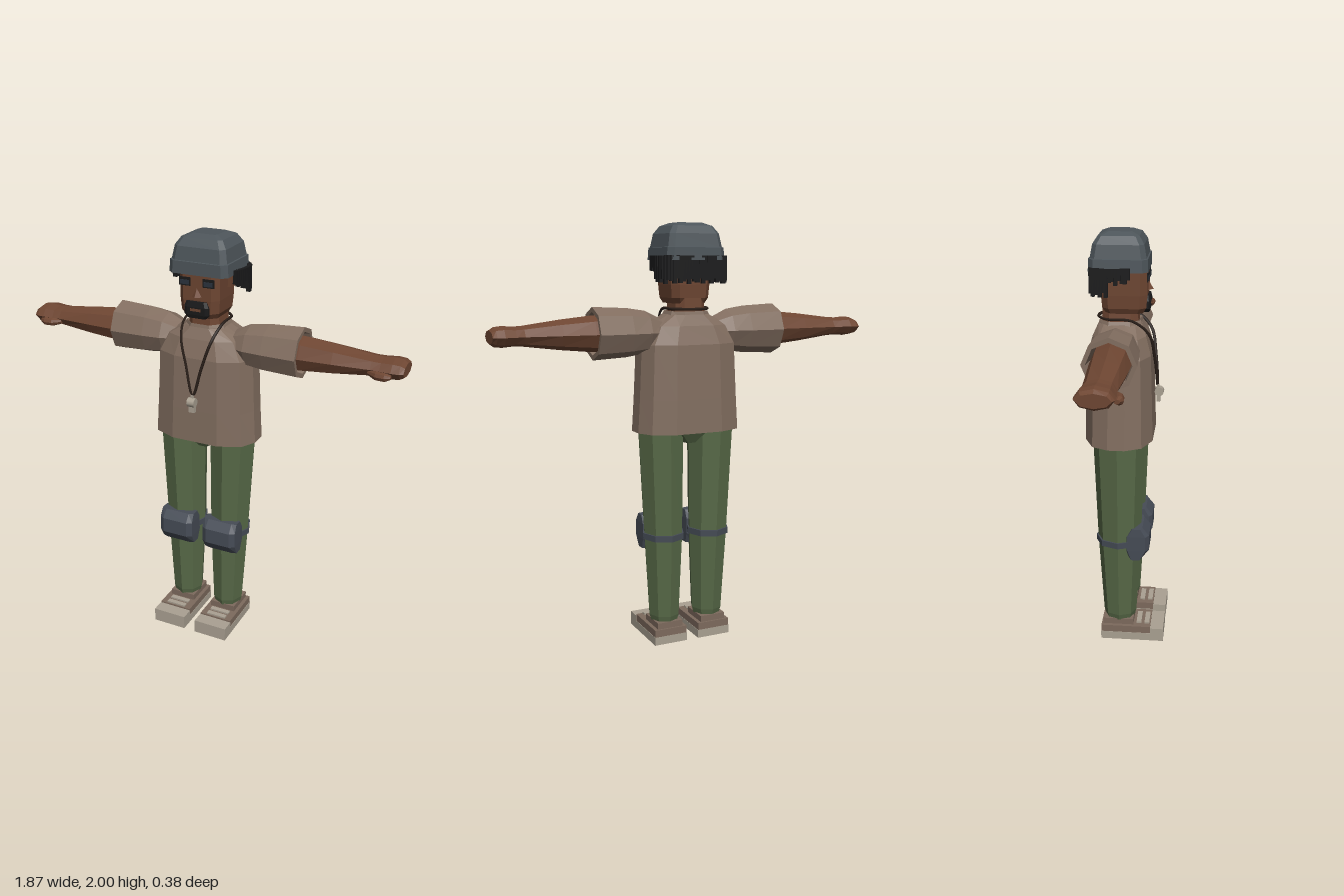
import * as THREE from 'three';

const mat = (name, color) => {
  const m = new THREE.MeshStandardMaterial({ color });
  m.name = name;
  return m;
};

// Full outline from one quarter of (x, z) points, in order of rising angle
const quarters = (q) => {
  const r = [...q].reverse();
  return [...q, ...r.map(([x, z]) => [-x, z]), ...q.map(([x, z]) => [-x, -z]), ...r.map(([x, z]) => [x, -z])];
};
const chamfered = (c) => quarters([[1, 1 - c], [1 - c, 1]]);
const OCTAGON = Array.from({ length: 8 }, (_, i) => [Math.cos(i * Math.PI / 4), Math.sin(i * Math.PI / 4)]);
const BODY = quarters([[1, 0.25], [0.85, 0.72], [0.45, 1]]);

// Faceted skin over cross-sections [y, centreX, centreZ, radiusX, radiusZ], capped at both ends
function loft(outline, sections) {
  const rings = sections.map(([y, cx, cz, rx, rz]) => outline.map(([x, z]) => [cx + x * rx, y, cz + z * rz]));
  const n = outline.length, last = rings.length - 1, out = [];
  const centre = (s) => [s[1], s[0], s[2]];
  for (let i = 0; i < n; i++) {
    const j = (i + 1) % n;
    for (let k = 0; k < last; k++) {
      const a = rings[k][i], b = rings[k][j], c = rings[k + 1][j], d = rings[k + 1][i];
      out.push(a, d, c, a, c, b);
    }
    out.push(centre(sections[0]), rings[0][i], rings[0][j]);
    out.push(centre(sections[last]), rings[last][j], rings[last][i]);
  }
  const g = new THREE.BufferGeometry();
  g.setAttribute('position', new THREE.Float32BufferAttribute(out.flat(), 3));
  g.computeVertexNormals();
  return g;
}

export function createModel() {
  const model = new THREE.Group();
  model.name = 'figure';
  const skin = mat('skin', 0x6e4632);
  const shirt = mat('shirt cloth', 0x826e60);
  const pants = mat('trouser cloth', 0x576947);
  const cap = mat('cap grey', 0x4d555a);
  const pad = mat('pad grey', 0x464c56);
  const black = mat('hair black', 0x1a1a1b);
  const lens = mat('lens', 0x2b333d);
  const sole = mat('shoe light', 0xaaa192);
  const upper = mat('shoe brown', 0x7d6a5d);
  const cordMat = mat('cord', 0x2c211b);

  const add = (name, geo, material) => {
    const m = new THREE.Mesh(geo, material);
    m.name = name;
    model.add(m);
    return m;
  };
  // Box given by its limits on each axis
  const box = (name, material, x0, x1, y0, y1, z0, z1) => {
    const m = add(name, new THREE.BoxGeometry(x1 - x0, y1 - y0, z1 - z0), material);
    m.position.set((x0 + x1) / 2, (y0 + y1) / 2, (z0 + z1) / 2);
    return m;
  };

  // Torso, hips and neck
  add('shirtBody', loft(BODY, [
    [1.04, 0, -0.03, 0.26, 0.158], [1.2, 0, -0.03, 0.25, 0.154], [1.45, 0, -0.03, 0.238, 0.146],
    [1.535, 0, -0.03, 0.19, 0.122], [1.585, 0, -0.03, 0.1, 0.1],
  ]), shirt);
  add('hips', loft(chamfered(0.4), [[0.98, 0, -0.03, 0.03, 0.07], [1.05, 0, -0.03, 0.13, 0.11]]), pants);
  add('neck', loft(chamfered(0.4), [[1.55, 0, -0.03, 0.08, 0.085], [1.66, 0, -0.03, 0.07, 0.08]]), skin);
  add('collar', loft(chamfered(0.5), [
    [1.56, 0, -0.03, 0.11, 0.105], [1.6, 0, -0.03, 0.09, 0.095], [1.585, 0, -0.03, 0.075, 0.08],
  ]), shirt);

  // Head and face
  add('head', loft(chamfered(0.3), [
    [1.635, 0, -0.01, 0.08, 0.085], [1.66, 0, -0.01, 0.093, 0.1], [1.72, 0, -0.01, 0.098, 0.105],
    [1.86, 0, -0.01, 0.1, 0.107],
  ]), skin);
  const nose = add('nose', new THREE.ConeGeometry(0.036, 0.06, 4).toNonIndexed(), skin);
  nose.geometry.computeVertexNormals();
  nose.position.set(0, 1.765, 0.083);
  add('beard', loft(chamfered(0.25), [
    [1.638, 0, 0.075, 0.045, 0.028], [1.655, 0, 0.075, 0.06, 0.033], [1.69, 0, 0.075, 0.06, 0.035],
    [1.715, 0, 0.075, 0.05, 0.03],
  ]), black);
  box('mouth', skin, -0.025, 0.025, 1.672, 1.684, 0.106, 0.112);

  // Cap with a turned-up band
  add('cap', loft(chamfered(0.18), [
    [1.832, 0, -0.032, 0.145, 0.134], [1.888, 0, -0.032, 0.141, 0.132], [1.89, 0, -0.032, 0.135, 0.126],
    [1.95, 0, -0.032, 0.124, 0.115], [1.985, 0, -0.032, 0.1, 0.092], [2, 0, -0.032, 0.062, 0.056],
  ]), cap);

  // Hanging hair strands around the sides and back
  const hairPath = new THREE.CatmullRomCurve3([
    [0.15, 0.015], [0.165, -0.04], [0.165, -0.1], [0.13, -0.148], [0, -0.156],
    [-0.13, -0.148], [-0.165, -0.1], [-0.165, -0.04], [-0.15, 0.015],
  ].map(([x, z]) => new THREE.Vector3(x, 0, z)));
  hairPath.getSpacedPoints(44).forEach((p, i) => {
    const length = (p.z < -0.08 ? 0.115 : 0.06) + 0.012 * Math.sin(i * 2.4);
    box('hairStrand', black, p.x - 0.009, p.x + 0.009, 1.852 - length, 1.852, p.z - 0.009, p.z + 0.009);
  });
  box('hairBack', black, -0.13, 0.13, 1.775, 1.85, -0.152, -0.11);

  // Neck cord and whistle
  const cord = new THREE.CatmullRomCurve3([
    [0, 1.28, 0.142], [0.04, 1.42, 0.13], [0.076, 1.54, 0.105], [0.095, 1.605, 0.03], [0.085, 1.61, -0.09],
    [0, 1.61, -0.135], [-0.085, 1.61, -0.09], [-0.095, 1.605, 0.03], [-0.076, 1.54, 0.105], [-0.04, 1.42, 0.13],
  ].map((p) => new THREE.Vector3(...p)), true);
  add('cord', new THREE.TubeGeometry(cord, 60, 0.007, 4, true), cordMat);
  const whistle = add('whistleBarrel', new THREE.CylinderGeometry(0.022, 0.022, 0.036, 10), sole);
  whistle.rotation.z = Math.PI / 2;
  whistle.position.set(0, 1.25, 0.15);
  box('whistleMouthpiece', sole, -0.014, 0.014, 1.2, 1.25, 0.137, 0.155);
  box('whistleLoop', sole, -0.006, 0.006, 1.265, 1.285, 0.138, 0.15);

  for (const s of [1, -1]) {
    const span = (name, material, a, b, ...rest) =>
      box(name, material, Math.min(a * s, b * s), Math.max(a * s, b * s), ...rest);

    // Eye, brow and ear
    span('eyeSocket', black, 0.03, 0.086, 1.782, 1.82, 0.094, 0.1);
    span('eyeLens', lens, 0.036, 0.08, 1.788, 1.808, 0.097, 0.103);
    span('ear', skin, 0.09, 0.118, 1.765, 1.815, -0.055, -0.015);

    // Arm parts are lofted along y, then laid out sideways
    const limb = (name, outline, sections, material) => {
      const m = add(name, loft(outline, sections).rotateZ(-s * Math.PI / 2), material);
      m.position.y = 1.505;
    };
    limb('sleeve', OCTAGON, [
      [0.14, 0, -0.032, 0.065, 0.08], [0.21, 0, -0.032, 0.098, 0.106], [0.3, 0, -0.033, 0.112, 0.114],
      [0.465, 0, -0.035, 0.12, 0.12], [0.465, 0, -0.035, 0.098, 0.1], [0.38, 0, -0.035, 0.08, 0.085],
    ], shirt);
    limb('arm', OCTAGON, [
      [0.36, 0, -0.03, 0.086, 0.092], [0.47, 0, -0.03, 0.082, 0.09], [0.62, 0, -0.03, 0.067, 0.082],
      [0.79, 0, -0.033, 0.045, 0.072], [0.83, 0, -0.036, 0.043, 0.076], [0.88, 0, -0.038, 0.047, 0.082],
      [0.915, 0, -0.038, 0.043, 0.08], [0.933, 0, -0.038, 0.03, 0.07],
    ], skin);
    limb('thumb', OCTAGON, [
      [0.78, s * 0.015, 0.025, 0.012, 0.015], [0.82, s * 0.018, 0.045, 0.02, 0.022],
      [0.86, s * 0.018, 0.05, 0.02, 0.02], [0.885, s * 0.016, 0.045, 0.01, 0.012],
    ], skin);

    // Leg, knee strap and knee pad
    add('leg', loft(OCTAGON, [
      [0.1, s * 0.115, -0.026, 0.068, 0.074], [0.13, s * 0.115, -0.026, 0.076, 0.081],
      [0.53, s * 0.119, -0.028, 0.096, 0.104], [1.06, s * 0.13, -0.028, 0.112, 0.123],
    ]), pants);
    add('kneeStrap', loft(OCTAGON, [
      [0.515, s * 0.119, -0.028, 0.103, 0.112], [0.545, s * 0.119, -0.028, 0.104, 0.113],
    ]), pad);
    add('kneePad', loft(chamfered(0.28), [
      [0.45, s * 0.117, 0.055, 0.086, 0.028], [0.5, s * 0.117, 0.06, 0.088, 0.06],
      [0.575, s * 0.117, 0.06, 0.088, 0.06], [0.615, s * 0.117, 0.06, 0.086, 0.028],
    ]), pad);

    // Shoe: sole, toe cap, upper, cuff and lace bars
    span('shoeSole', sole, 0.03, 0.2, 0, 0.04, -0.115, 0.195);
    span('shoeToe', sole, 0.03, 0.2, 0.04, 0.068, 0.13, 0.195);
    span('shoeUpper', upper, 0.032, 0.198, 0.04, 0.075, -0.114, 0.13);
    span('shoeCuff', upper, 0.05, 0.18, 0.075, 0.105, -0.105, 0.045);
    for (const z of [0.06, 0.1]) span('laceBar', sole, 0.065, 0.165, 0.075, 0.083, z, z + 0.024);
  }
  return model;
}
